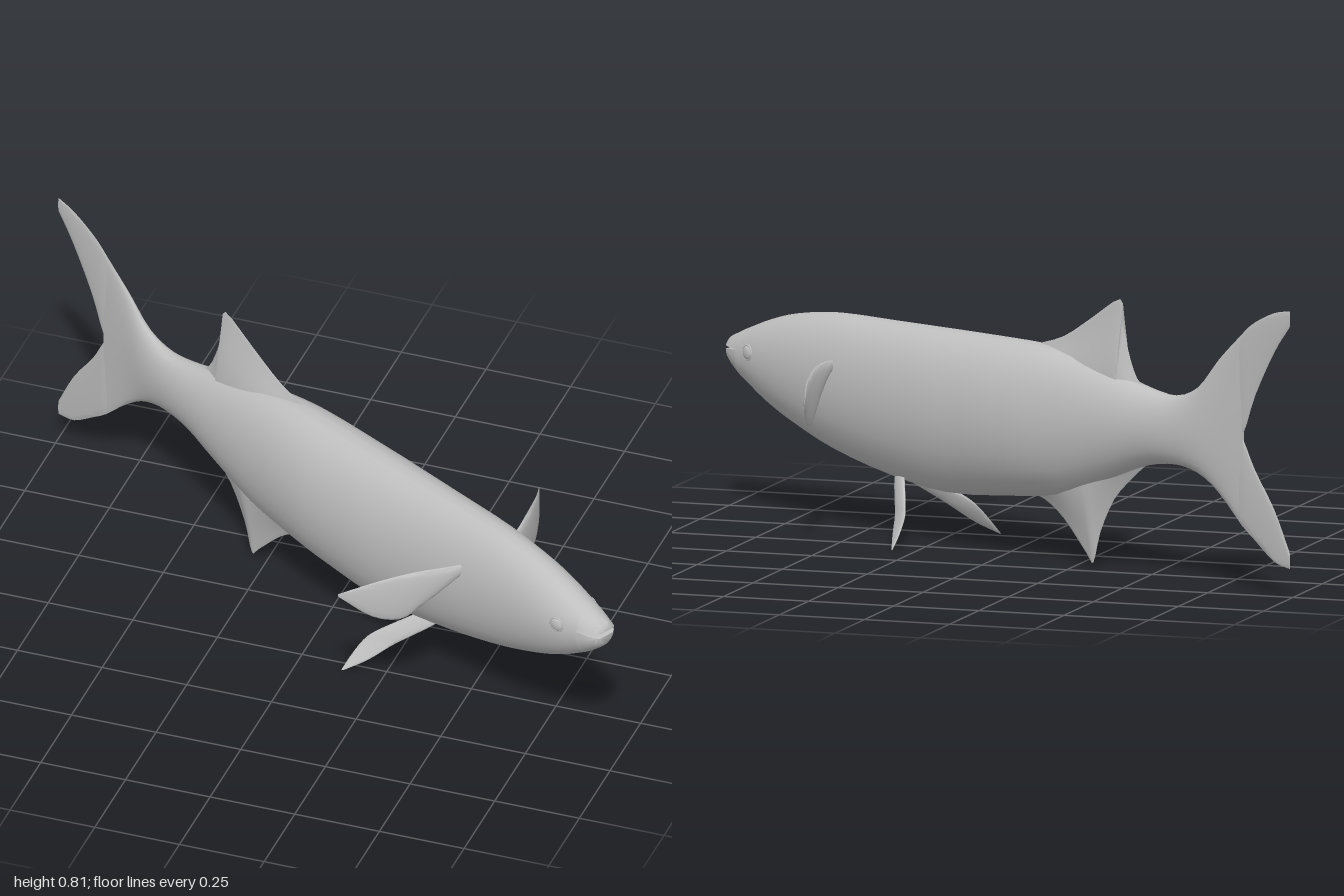
import * as THREE from 'three';
import { toCreasedNormals } from 'three/addons/utils/BufferGeometryUtils.js';

const K = 1.118; // stretch from world x to distance along the slanted body axis
const MID = -0.014; // slight sideways bend of the trunk against the head
const SIDES = 28;

// A cross-section runs from edge a to edge b; h is its half thickness
const sec = (X, y1, y2, h, w = MID) => ({ a: [K * X, y1, w], b: [K * X, y2, w], h });

// Skin elliptical sections; taper thins the section toward edge a
function loft(sections, { n = [0, 0, 1], taper = 0, steps = 3, clamp = null } = {}) {
  const curve = (k) => new THREE.CatmullRomCurve3(
    sections.map((s) => new THREE.Vector3(...s[k])), false, 'catmullrom', 0.5);
  const ca = curve('a'), cb = curve('b');
  const normal = new THREE.Vector3(...n).normalize();
  const count = (sections.length - 1) * steps;
  const pos = [], idx = [];
  for (let i = 0; i <= count; i++) {
    const u = i / count;
    const f = u * (sections.length - 1);
    const k = Math.min(Math.floor(f), sections.length - 2);
    const h = THREE.MathUtils.lerp(sections[k].h, sections[k + 1].h, f - k);
    const A = ca.getPoint(u), B = cb.getPoint(u);
    const mid = A.clone().add(B).multiplyScalar(0.5);
    const half = A.clone().sub(B).multiplyScalar(0.5);
    for (let j = 0; j < SIDES; j++) {
      const t = (j / SIDES) * Math.PI * 2, s = Math.sin(t);
      const p = mid.clone().addScaledVector(half, s)
        .addScaledVector(normal, h * Math.cos(t) * (1 - taper * s));
      if (clamp) p.y = clamp(p.y, u);
      pos.push(p.x, p.y, p.z);
    }
  }
  for (let i = 0; i < count; i++) {
    for (let j = 0; j < SIDES; j++) {
      const p = i * SIDES + j, q = i * SIDES + (j + 1) % SIDES;
      idx.push(p, p + SIDES, q + SIDES, p, q + SIDES, q);
    }
  }
  const last = count * SIDES;
  for (let j = 1; j < SIDES - 1; j++) {
    idx.push(0, j, j + 1, last, last + j + 1, last + j);
  }
  // Turn faces outward whatever the direction of the sections
  const at = (i) => new THREE.Vector3().fromArray(pos, i * 3);
  let volume = 0;
  for (let i = 0; i < idx.length; i += 3) {
    volume += at(idx[i]).dot(at(idx[i + 1]).cross(at(idx[i + 2])));
  }
  if (volume < 0) idx.reverse();
  const g = new THREE.BufferGeometry();
  g.setAttribute('position', new THREE.Float32BufferAttribute(pos, 3));
  g.setIndex(idx);
  return toCreasedNormals(g, 1.0);
}

export function createModel() {
  const skin = new THREE.MeshStandardMaterial({ color: 0xbfbfbf });
  skin.name = 'greySkin';
  const fish = new THREE.Group();
  fish.name = 'fish';
  const add = (name, geometry) => {
    const m = new THREE.Mesh(geometry, skin);
    m.name = name;
    fish.add(m);
  };

  // Body from the fork of the tail to the corners of the mouth
  add('body', loft([
    sec(-0.835, 0.725, 0.18, 0.005), sec(-0.75, 0.64, 0.265, 0.017),
    sec(-0.68, 0.555, 0.31, 0.03), sec(-0.6, 0.52, 0.325, 0.042),
    sec(-0.5, 0.53, 0.31, 0.06), sec(-0.4, 0.555, 0.265, 0.078),
    sec(-0.25, 0.59, 0.2, 0.1), sec(-0.12, 0.605, 0.175, 0.118),
    sec(0, 0.606, 0.16, 0.128, -0.012), sec(0.2, 0.604, 0.142, 0.127, -0.01),
    sec(0.4, 0.601, 0.165, 0.113, -0.009), sec(0.6, 0.597, 0.21, 0.098, -0.007),
    sec(0.75, 0.575, 0.265, 0.088, -0.003), sec(0.85, 0.545, 0.315, 0.076, 0),
    sec(0.93, 0.51, 0.367, 0.058, 0),
  ]));

  // Jaws: the snout split along the mouth line
  const snout = [
    sec(0.93, 0.51, 0.367, 0.058, 0), sec(0.955, 0.497, 0.388, 0.05, 0),
    sec(0.978, 0.486, 0.41, 0.038, 0), sec(0.987, 0.478, 0.425, 0.025, 0),
  ];
  add('upperJaw', loft(snout, { clamp: (y, u) => Math.max(y, 0.456 + 0.006 * u) }));
  add('lowerJaw', loft(snout, { clamp: (y, u) => Math.min(y, 0.456 - 0.008 * u) }));

  // Forked tail lobes, rooted inside the end of the body
  add('upperTailLobe', loft([
    sec(-0.815, 0.7, 0.45, 0.004), sec(-0.84, 0.73, 0.45, 0.006),
    sec(-0.88, 0.762, 0.555, 0.005, -0.015), sec(-0.95, 0.797, 0.685, 0.004, -0.018),
    sec(-1.008, 0.81, 0.765, 0.002, -0.021),
  ]));
  add('lowerTailLobe', loft([
    sec(-0.815, 0.45, 0.205, 0.004), sec(-0.84, 0.42, 0.177, 0.006),
    sec(-0.88, 0.345, 0.147, 0.005, -0.015), sec(-0.95, 0.245, 0.097, 0.004, -0.018),
    sec(-1.008, 0.13, 0.085, 0.002, -0.021),
  ]));

  // Fins on the centre line, wedge-shaped toward the free edge
  add('dorsalFin', loft([
    sec(-0.1, 0.6, 0.52, 0.01), sec(-0.2, 0.635, 0.5, 0.024),
    sec(-0.3, 0.7, 0.46, 0.028), sec(-0.4, 0.765, 0.44, 0.024),
    sec(-0.41, 0.7, 0.44, 0.022), sec(-0.43, 0.62, 0.44, 0.02),
    sec(-0.46, 0.55, 0.44, 0.016), sec(-0.5, 0.522, 0.44, 0.01),
  ], { taper: 0.85 }));
  add('analFin', loft([
    sec(-0.5, 0.315, 0.37, 0.015), sec(-0.45, 0.272, 0.37, 0.02),
    sec(-0.38, 0.2, 0.37, 0.026), sec(-0.33, 0.1, 0.37, 0.028),
    sec(-0.305, 0.012, 0.37, 0.028), sec(-0.28, 0.035, 0.36, 0.03),
    sec(-0.2, 0.122, 0.33, 0.035), sec(-0.13, 0.168, 0.3, 0.035),
    sec(-0.07, 0.18, 0.28, 0.02),
  ], { taper: 0.85 }));

  for (const [side, m] of [['left', -1], ['right', 1]]) {
    // Pectoral fin: upright blade sweeping outward and back [t, w, top, bottom, h]
    const blade = [
      [0.612, 0.07, 0.478, 0.455, 0.006], [0.605, 0.1, 0.481, 0.445, 0.008],
      [0.583, 0.15, 0.482, 0.408, 0.01], [0.552, 0.205, 0.481, 0.362, 0.011],
      [0.522, 0.252, 0.474, 0.328, 0.01], [0.475, 0.317, 0.455, 0.345, 0.007],
      [0.412, 0.385, 0.42, 0.412, 0.001],
    ];
    add(side + 'PectoralFin', loft(blade.map(([t, w, top, bottom, h]) => (
      { a: [t, top, m * w + MID], b: [t, bottom, m * w + MID], h })), { n: [0.84, 0, 0.54 * m] }));

    // Pelvic fin: slanted blade below the belly [t, y, w, half chord, h]
    const pelvic = [
      [0.415, 0.19, 0.01, 0.03, 0.006], [0.382, 0.155, 0.045, 0.045, 0.007],
      [0.327, 0.11, 0.097, 0.048, 0.006], [0.298, 0.08, 0.127, 0.042, 0.005],
      [0.27, 0.035, 0.171, 0.026, 0.003], [0.245, 0.002, 0.21, 0.003, 0.001],
    ];
    const n = new THREE.Vector3(-0.157, -0.155, 0.173 * m)
      .cross(new THREE.Vector3(0.894, 0, -0.447 * m)).toArray();
    add(side + 'PelvicFin', loft(pelvic.map(([t, y, w, c, h]) => ({
      a: [t + 0.894 * c, y, m * (w - 0.447 * c) + MID],
      b: [t - 0.894 * c, y, m * (w + 0.447 * c) + MID], h })), { n }));

    // Eye with a raised rim
    const eye = new THREE.Group();
    eye.name = side + 'Eye';
    const ball = new THREE.Mesh(new THREE.SphereGeometry(0.02, 20, 14), skin);
    ball.name = 'eyeball';
    ball.scale.z = 0.4;
    const rim = new THREE.Mesh(new THREE.TorusGeometry(0.021, 0.003, 8, 24), skin);
    rim.name = 'eyeRim';
    eye.add(ball, rim);
    eye.position.set(0.873 * K, 0.455, m * 0.069);
    eye.rotation.y = m * 0.2;
    fish.add(eye);
  }

  // The body lies diagonally on the ground plane
  fish.rotation.y = -Math.atan(0.5);
  const model = new THREE.Group();
  model.name = 'model';
  model.add(fish);
  return model;
}
